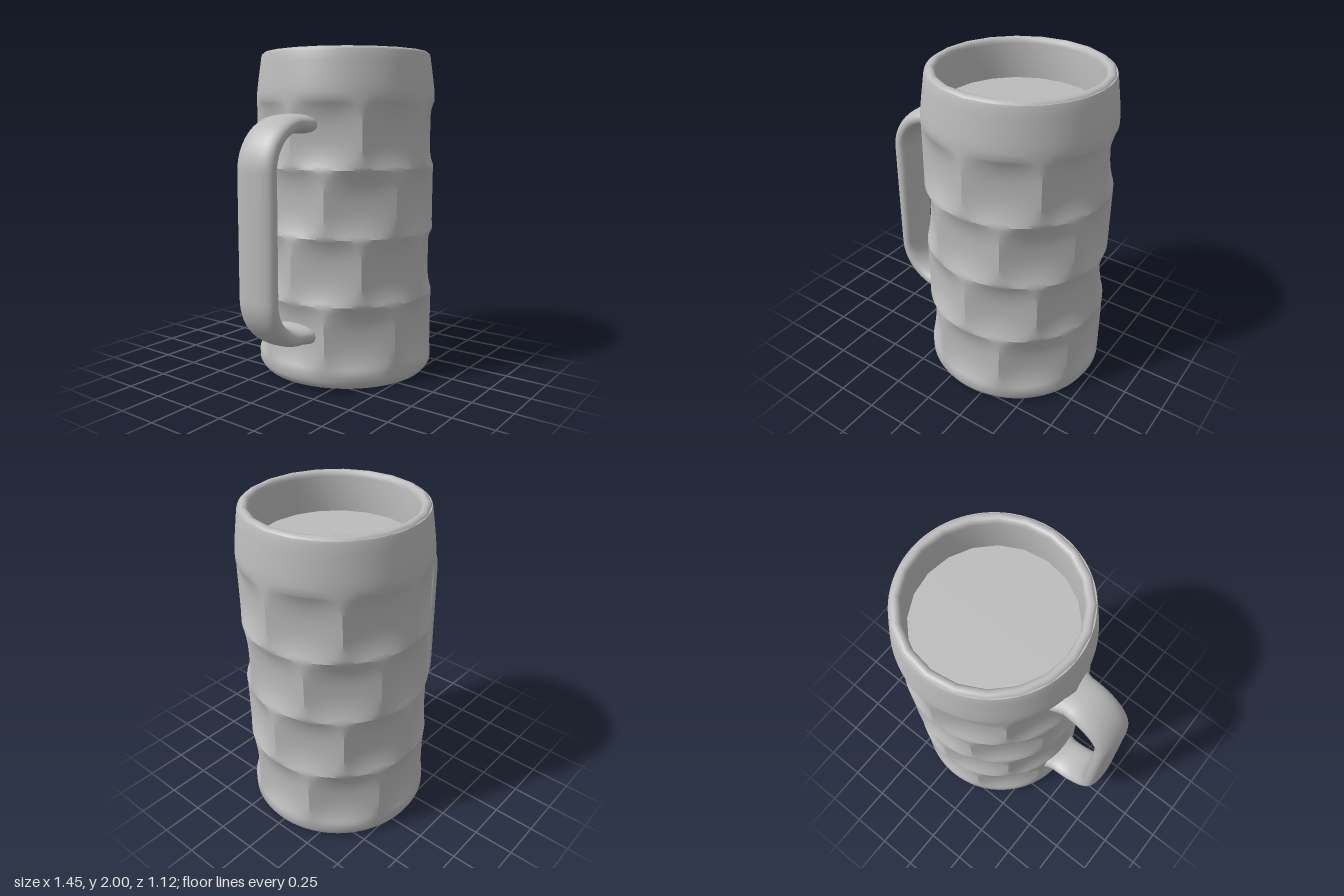
import * as THREE from 'three';
import { mergeVertices, toCreasedNormals } from 'three/addons/utils/BufferGeometryUtils.js';

const CENTRE_X = 0.165; // axis of the mug
const R = 0.56;         // outer radius
const V = (x, y) => new THREE.Vector2(x, y);

// Share seam vertices, then recompute normals with sharp edges kept
function crease(geo, angle) {
  geo.deleteAttribute('uv');
  geo.deleteAttribute('normal');
  return toCreasedNormals(mergeVertices(geo, 1e-5), angle);
}

// Depth of the pressed panels: four rows of eight, alternate rows turned half a step
function dimpleDepth(angle, y) {
  const row = Math.floor((y - 0.1) / 0.4);
  if (row < 0 || row > 3) return 0;
  const t = Math.abs((y - 0.3 - row * 0.4) / 0.2);
  const turns = angle / (Math.PI / 4) + (row % 2 ? 0.5 : 0);
  const u = Math.min(1, Math.abs(turns - Math.round(turns)) * 2);
  const height = Math.pow(1 - Math.pow(u, 5), 0.2); // rounded-rectangle outline
  if (t >= height) return 0;
  return 0.041 * (1 - u * u) * (1 - Math.pow(t / height, 2.4));
}

function bodyGeometry() {
  const profile = [V(0, 0), V(0.53, 0), V(0.545, 0.017), V(R, 0.045)];
  for (let i = 0; i <= 80; i++) profile.push(V(R, 0.1 + i * 0.02));
  profile.push(V(0.56, 1.74), V(0.556, 1.78), V(0.547, 1.85), V(0.537, 1.92), V(0.53, 1.97), V(0.525, 1.985), V(0.49, 1.985));
  const geo = new THREE.LatheGeometry(profile, 160);
  const p = geo.attributes.position;
  for (let i = 0; i < p.count; i++) {
    const x = p.getX(i), y = p.getY(i), z = p.getZ(i);
    const r = Math.hypot(x, z);
    if (r < 0.555) continue;
    const k = (r - dimpleDepth(Math.atan2(x, z), y)) / r;
    p.setXYZ(i, x * k, y, z * k);
  }
  return crease(geo, 0.5);
}

// Flattened bar swept along a bracket-shaped path, flaring where it meets the mug
function handleGeometry() {
  const path = [];
  const add = (x, y, a, flare) => path.push({ x, y, a, flare });
  const arcSteps = 14, rad = 0.265;
  add(-0.26, 1.555, Math.PI / 2, 1.2);
  add(-0.34, 1.56, Math.PI / 2, 1.17);
  add(-0.38, 1.564, Math.PI / 2, 1.07);
  for (let i = 0; i <= arcSteps; i++) {
    const a = Math.PI / 2 * (1 + i / arcSteps);
    add(-0.41 + rad * Math.cos(a), 1.3 + rad * Math.sin(a), a, 1);
  }
  for (let i = 0; i <= arcSteps; i++) {
    const a = Math.PI * (1 + 0.5 * i / arcSteps);
    add(-0.41 + rad * Math.cos(a), 0.575 + rad * Math.sin(a), a, 1);
  }
  add(-0.38, 0.31, Math.PI * 1.5, 1.07);
  add(-0.34, 0.31, Math.PI * 1.5, 1.2);
  add(-0.26, 0.31, Math.PI * 1.5, 1.25);

  const sides = 32, pos = [], index = [];
  const power = (v, e) => Math.sign(v) * Math.pow(Math.abs(v), e);
  path.forEach(({ x, y, a, flare }, i) => {
    for (let j = 0; j < sides; j++) {
      const s = j / sides * Math.PI * 2;
      const out = 0.054 * flare * power(Math.cos(s), 0.85);
      pos.push(x + out * Math.cos(a), y + out * Math.sin(a), 0.133 * flare * power(Math.sin(s), 0.8));
      if (i === 0) continue;
      const k = (j + 1) % sides, b = i * sides, c = b - sides;
      index.push(c + j, b + j, c + k, b + j, b + k, c + k);
    }
  });
  const geo = new THREE.BufferGeometry();
  geo.setAttribute('position', new THREE.Float32BufferAttribute(pos, 3));
  geo.setIndex(index);
  geo.computeVertexNormals();
  return geo;
}

export function createModel() {
  const group = new THREE.Group();
  group.name = 'beerMug';
  const grey = new THREE.MeshStandardMaterial({ color: 0xbbbbbb });
  grey.name = 'grey';
  const add = (name, geo, x) => {
    const mesh = new THREE.Mesh(geo, grey);
    mesh.name = name;
    mesh.position.x = x;
    group.add(mesh);
  };

  add('body', bodyGeometry(), CENTRE_X);

  // Rounded lip, inner wall and inner floor, with fewer sides than the body
  const lip = [V(0.527, 1.975), V(0.521, 1.99), V(0.508, 1.998), V(0.495, 2), V(0.482, 1.996), V(0.472, 1.985), V(0.468, 1.965),
    V(0.468, 1.75), V(0, 1.75)];
  add('rimAndInside', crease(new THREE.LatheGeometry(lip, 20), 0.8), CENTRE_X);

  add('handle', handleGeometry(), 0);
  return group;
}
